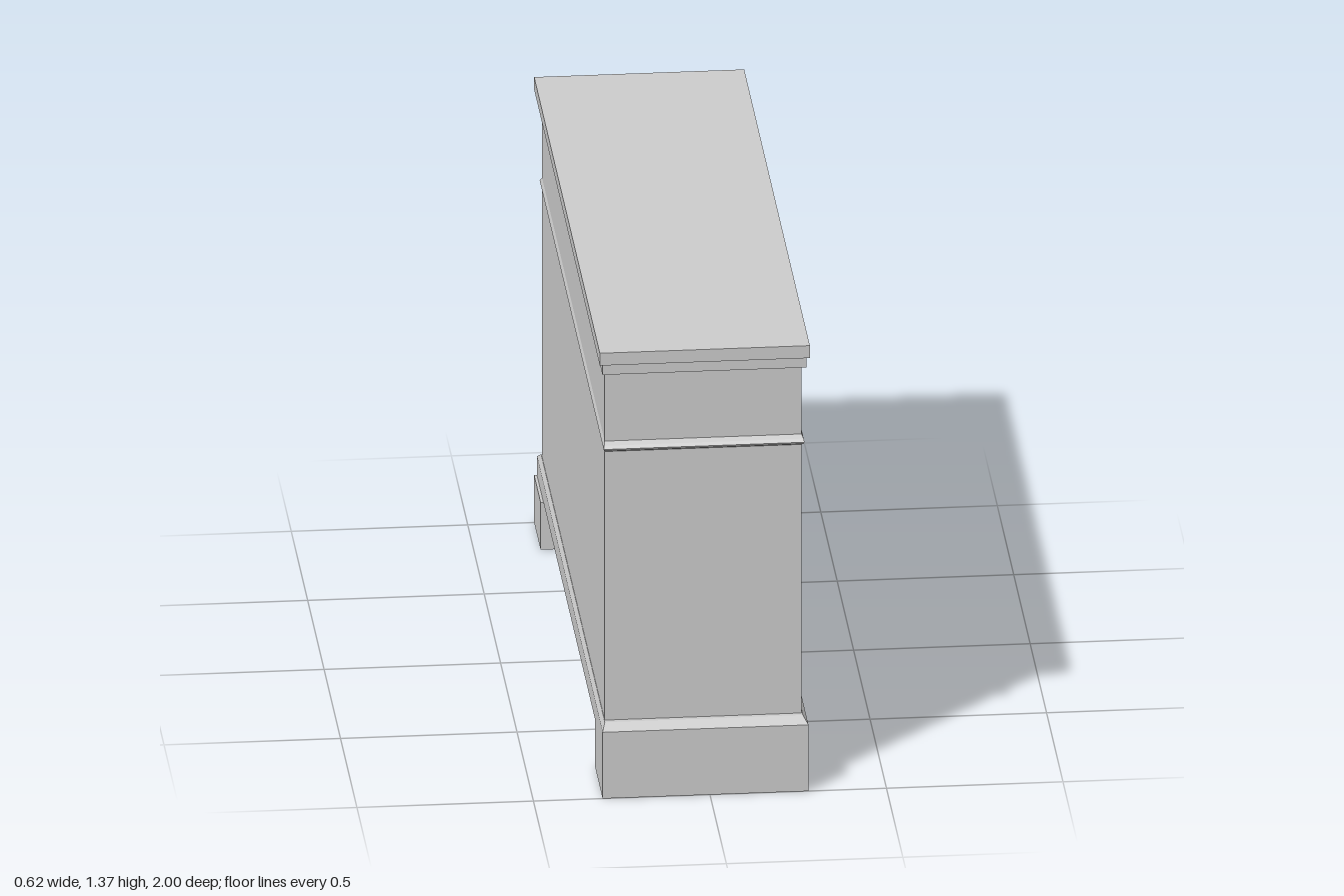
import * as THREE from 'three';

const material = new THREE.MeshStandardMaterial({ color: 0xcccccc, flatShading: true });
const smooth = new THREE.MeshStandardMaterial({ color: 0xcccccc });

const FRONT = 0.264; // face of the doors and drawers
const CORE = 0.254; // cabinet core behind them
const BODY = { back: -0.294, z0: -0.95, z1: 0.955 };

export function createModel() {
  const model = new THREE.Group();
  model.name = 'sideboard';

  const add = (name, geometry, mat = material) => {
    const mesh = new THREE.Mesh(geometry, mat);
    mesh.name = name;
    model.add(mesh);
    return mesh;
  };

  const block = (name, x0, x1, y0, y1, z0, z1) =>
    add(name, new THREE.BoxGeometry(x1 - x0, y1 - y0, z1 - z0))
      .position.set((x0 + x1) / 2, (y0 + y1) / 2, (z0 + z1) / 2);

  // Rectangular moulding lofted through rows of [y, x0, x1, z0, z1], capped both ends
  const moulding = (name, rows) => {
    const points = [], index = [];
    for (const [y, x0, x1, z0, z1] of rows)
      points.push(x0, y, z1, x1, y, z1, x1, y, z0, x0, y, z0);
    for (let r = 0; r < rows.length - 1; r++)
      for (let i = 0; i < 4; i++) {
        const a = r * 4 + i, b = r * 4 + (i + 1) % 4;
        index.push(a, b, b + 4, a, b + 4, a + 4);
      }
    const t = (rows.length - 1) * 4;
    index.push(0, 2, 1, 0, 3, 2, t, t + 1, t + 2, t, t + 2, t + 3);
    const geometry = new THREE.BufferGeometry();
    geometry.setAttribute('position', new THREE.Float32BufferAttribute(points, 3));
    geometry.setIndex(index);
    const flat = geometry.toNonIndexed();
    flat.computeVertexNormals();
    add(name, flat);
  };

  // Cabinet core
  block('cabinetBody', BODY.back, CORE, 0.2, 1.3, BODY.z0, BODY.z1);

  // Face frame: end stiles, centre panel and bottom rail
  block('leftStile', CORE, FRONT, 0.2, 1.3, 0.812, BODY.z1);
  block('rightStile', CORE, FRONT, 0.2, 1.3, BODY.z0, -0.812);
  block('centrePanel', CORE, FRONT, 0.228, 1.045, -0.312, 0.336);
  block('bottomRail', CORE, FRONT, 0.2, 0.228, -0.812, 0.812);
  block('drawerRail', CORE, FRONT, 1.045, 1.075, -0.812, 0.812);

  // Doors: a frame around a recessed panel, drawn in (z, y) and turned to face +x
  const rect = (Type, z0, z1, y0, y1) => new Type([
    [-z0, y0], [-z1, y0], [-z1, y1], [-z0, y1],
  ].map(([u, v]) => new THREE.Vector2(u, v)));
  const doors = [
    ['leftDoor', 0.342, 0.807, 0.41, 0.74],
    ['rightDoor', -0.807, -0.315, -0.74, -0.385],
  ];
  for (const [name, z0, z1, p0, p1] of doors) {
    const shape = rect(THREE.Shape, z0, z1, 0.232, 1.041);
    shape.holes.push(rect(THREE.Path, p0, p1, 0.285, 0.98));
    const geometry = new THREE.ExtrudeGeometry(shape, { depth: FRONT - CORE, bevelEnabled: false });
    geometry.rotateY(Math.PI / 2).translate(CORE, 0, 0);
    add(name, geometry);
  }

  // Drawer fronts
  const drawers = [['left', 0.342, 0.807], ['centre', -0.313, 0.337], ['right', -0.807, -0.318]];
  for (const [side, z0, z1] of drawers)
    block(side + 'DrawerFront', CORE, FRONT, 1.079, 1.288, z0, z1);

  // Flattened round knobs on short stems
  const knob = (name, y, z, radius, half, x) => {
    const head = new THREE.SphereGeometry(radius, 24, 16).scale(half / radius, 1, 1);
    add(name, head, smooth).position.set(x, y, z);
    const stem = new THREE.CylinderGeometry(radius * 0.4, radius * 0.4, x - CORE, 16).rotateZ(Math.PI / 2);
    add(name + 'Stem', stem, smooth).position.set((x + CORE) / 2, y, z);
  };
  knob('leftDrawerKnob', 1.185, 0.58, 0.037, 0.021, 0.28);
  knob('centreDrawerKnob', 1.185, 0.003, 0.037, 0.021, 0.28);
  knob('rightDrawerKnob', 1.185, -0.565, 0.037, 0.021, 0.28);
  knob('leftDoorKnob', 0.635, 0.375, 0.042, 0.025, 0.283);
  knob('rightDoorKnob', 0.64, -0.355, 0.042, 0.025, 0.283);

  // Waist moulding with a rounded nose
  moulding('waistMoulding', [
    [1.044, -0.294, 0.264, -0.95, 0.955],
    [1.052, -0.297, 0.268, -0.963, 0.97],
    [1.06, -0.299, 0.27, -0.97, 0.978],
    [1.068, -0.297, 0.268, -0.963, 0.97],
    [1.076, -0.294, 0.264, -0.95, 0.955],
  ]);

  // Stepped top
  block('topMoulding', -0.303, 0.275, 1.292, 1.327, -0.985, 0.985);
  block('topSlab', -0.312, 0.283, 1.327, 1.365, -1, 1);

  // Plinth with a bevelled upper edge
  moulding('plinth', [
    [0.145, -0.304, 0.279, -1, 1],
    [0.203, -0.304, 0.279, -1, 1],
    [0.221, -0.295, 0.266, -0.97, 0.97],
  ]);

  // Full-depth block feet
  block('leftFoot', -0.304, 0.279, 0, 0.145, 0.775, 1);
  block('rightFoot', -0.312, 0.284, 0, 0.145, -1, -0.803);

  return model;
}
